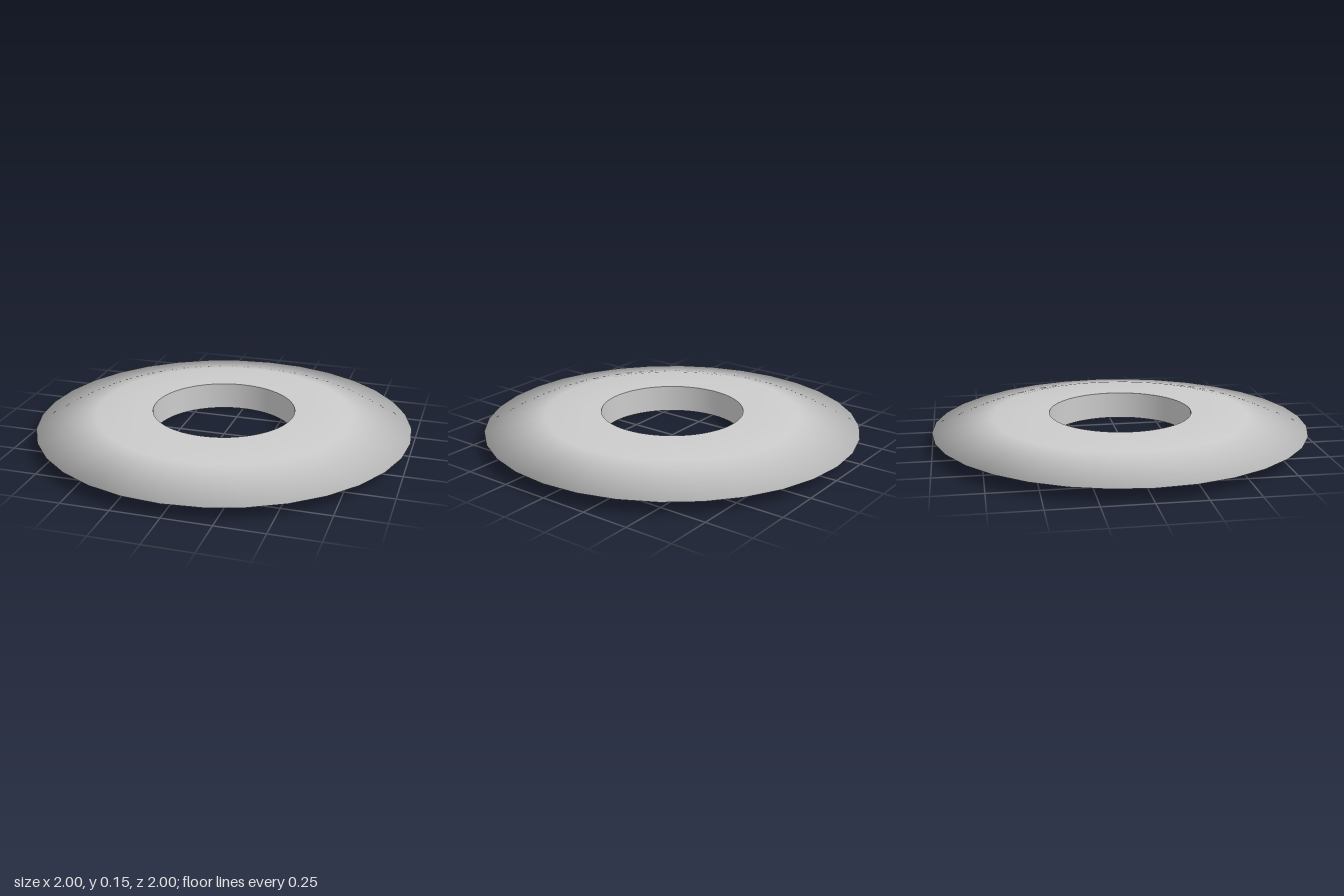
import * as THREE from 'three';

const HOLE = 0.38, HEIGHT = 0.146, SIDES = 32;

export function createModel() {
  const group = new THREE.Group();
  group.name = 'flatRing';
  const material = new THREE.MeshStandardMaterial({ color: 0xcccccc });

  // upper half of the section, from sharp rim to hole; mirrored for the underside
  const upper = [[1, HEIGHT / 2], [0.68, 0.136], [0.48, 0.144], [HOLE, HEIGHT]];
  const lower = upper.slice(1).reverse().map(([r, y]) => [r, HEIGHT - y]);
  const profile = [...lower, ...upper].map(([r, y]) => new THREE.Vector2(r, y));

  // disc body: a 32-sided outline around a rounder hole
  const body = new THREE.LatheGeometry(profile, SIDES * 2);
  const pos = body.attributes.position;
  const flatten = Math.cos(Math.PI / SIDES);
  for (let i = 0; i < pos.count; i++) {
    const step = Math.floor(i / profile.length);
    const radius = Math.hypot(pos.getX(i), pos.getZ(i));
    if (step % 2 === 1 && radius > HOLE + 0.01) {
      pos.setX(i, pos.getX(i) * flatten);
      pos.setZ(i, pos.getZ(i) * flatten);
    }
  }
  const disc = new THREE.Mesh(body, material);
  disc.name = 'discBody';

  // straight wall of the hole, facing inwards
  const wallPoints = [new THREE.Vector2(HOLE, HEIGHT), new THREE.Vector2(HOLE, 0)];
  const wall = new THREE.Mesh(new THREE.LatheGeometry(wallPoints, SIDES * 2), material);
  wall.name = 'holeWall';

  group.add(disc, wall);
  return group;
}
